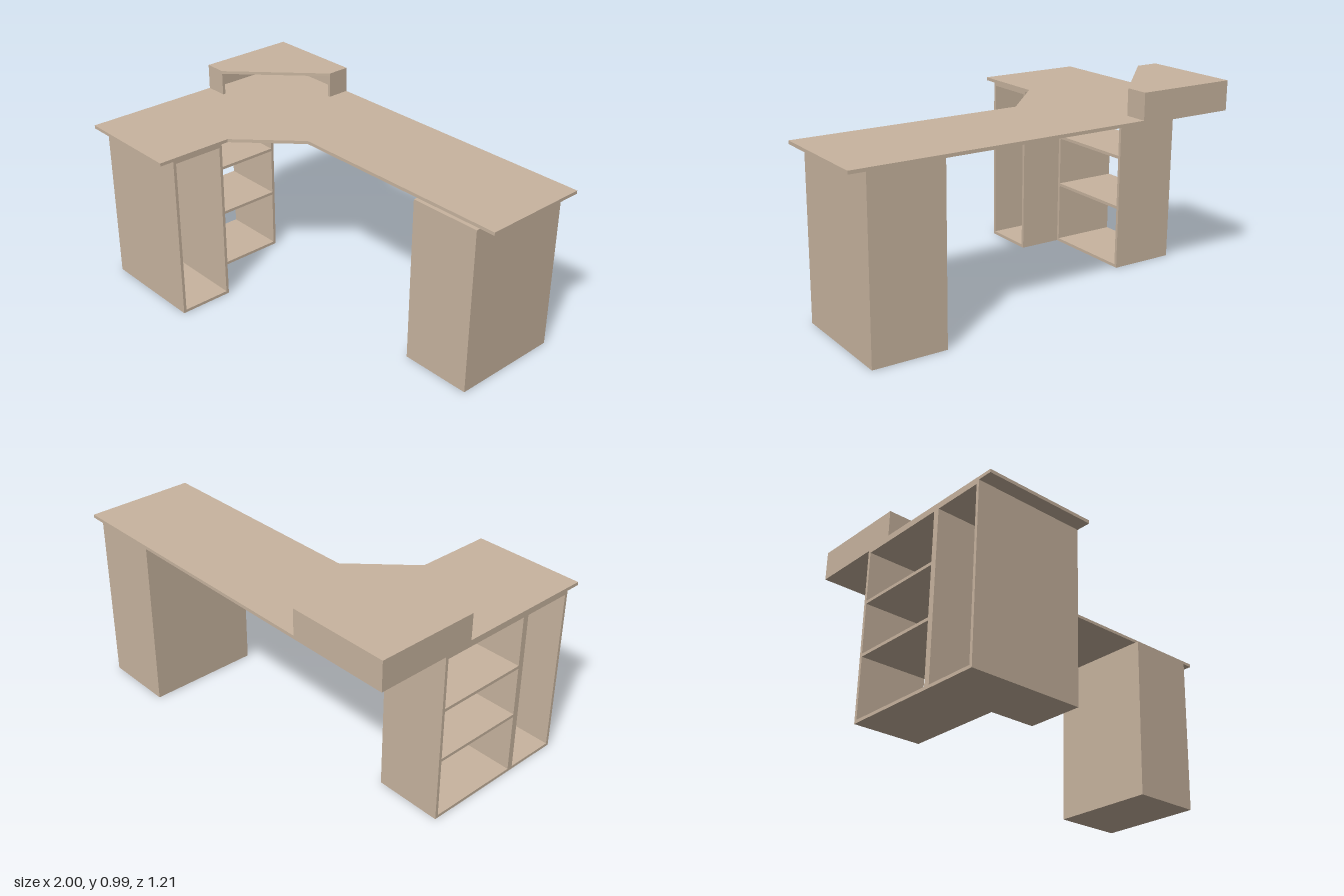
import * as THREE from 'three';

const wood = new THREE.MeshStandardMaterial({ color: 0xc8b49f });
const T = 0.015; // board thickness

// Box given by its limits on each axis
function board(name, [x0, x1], [y0, y1], [z0, z1]) {
  const mesh = new THREE.Mesh(new THREE.BoxGeometry(x1 - x0, y1 - y0, z1 - z0), wood);
  mesh.position.set((x0 + x1) / 2, (y0 + y1) / 2, (z0 + z1) / 2);
  mesh.name = name;
  return mesh;
}

// Flat board from an [x, z] outline, lying on height y
function slab(name, outline, y, thickness) {
  const shape = new THREE.Shape(outline.map(([x, z]) => new THREE.Vector2(x, -z)));
  const geometry = new THREE.ExtrudeGeometry(shape, { depth: thickness, bevelEnabled: false });
  geometry.rotateX(-Math.PI / 2);
  const mesh = new THREE.Mesh(geometry, wood);
  mesh.position.y = y;
  mesh.name = name;
  return mesh;
}

// Cabinet open along x: two upright panels, bottom, top and shelves between
function openCabinet(name, xs, [z0, z1], height, shelves) {
  const group = new THREE.Group();
  group.name = name;
  group.add(
    board('backPanel', xs, [0, height], [z0, z0 + T]),
    board('frontPanel', xs, [0, height], [z1 - T, z1]),
  );
  for (const y of [0, ...shelves, height - T]) {
    group.add(board('shelf', xs, [y, y + T], [z0 + T, z1 - T]));
  }
  return group;
}

export function createModel() {
  const model = new THREE.Group();
  model.name = 'cornerDesk';
  const back = -0.607, front = 0.607, deskBottom = 0.846, deskTop = 0.862;

  // L-shaped desktop with a diagonal inner corner
  model.add(slab('desktop', [
    [-1, front], [-0.44, front], [-0.44, 0.217], [-0.167, -0.056],
    [1, -0.056], [1, back], [-1, back],
  ], deskBottom, deskTop - deskBottom));

  // Closed pedestal
  model.add(board('pedestal', [0.557, 0.921], [0, deskBottom], [back, -0.036]));

  // Open cabinets: tall compartment in front, shelving behind
  model.add(openCabinet('tallCompartment', [-1, -0.44], [0.253, 0.535], deskBottom, []));
  model.add(openCabinet('shelvingUnit', [-1, -0.664], [-0.247, 0.253], deskBottom, [0.31, 0.57]));

  // Raised corner shelf, open along its diagonal front
  const riser = new THREE.Group();
  riser.name = 'cornerRiser';
  const top = 0.991, under = top - T;
  riser.add(
    slab('riserTop', [
      [-1, -0.098], [-0.885, -0.098], [-0.49, -0.49], [-0.49, back], [-1, back],
    ], under, T),
    board('riserBack', [-1, -0.49], [deskTop, under], [back, back + T]),
    board('riserSide', [-1, -1 + T], [deskTop, under], [back + T, -0.098]),
    board('riserFrontEnd', [-1 + T, -0.885], [deskTop, under], [-0.098 - T, -0.098]),
    board('riserLeftEnd', [-0.49 - T, -0.49], [deskTop, under], [back + T, -0.49]),
  );
  model.add(riser);

  return model;
}
